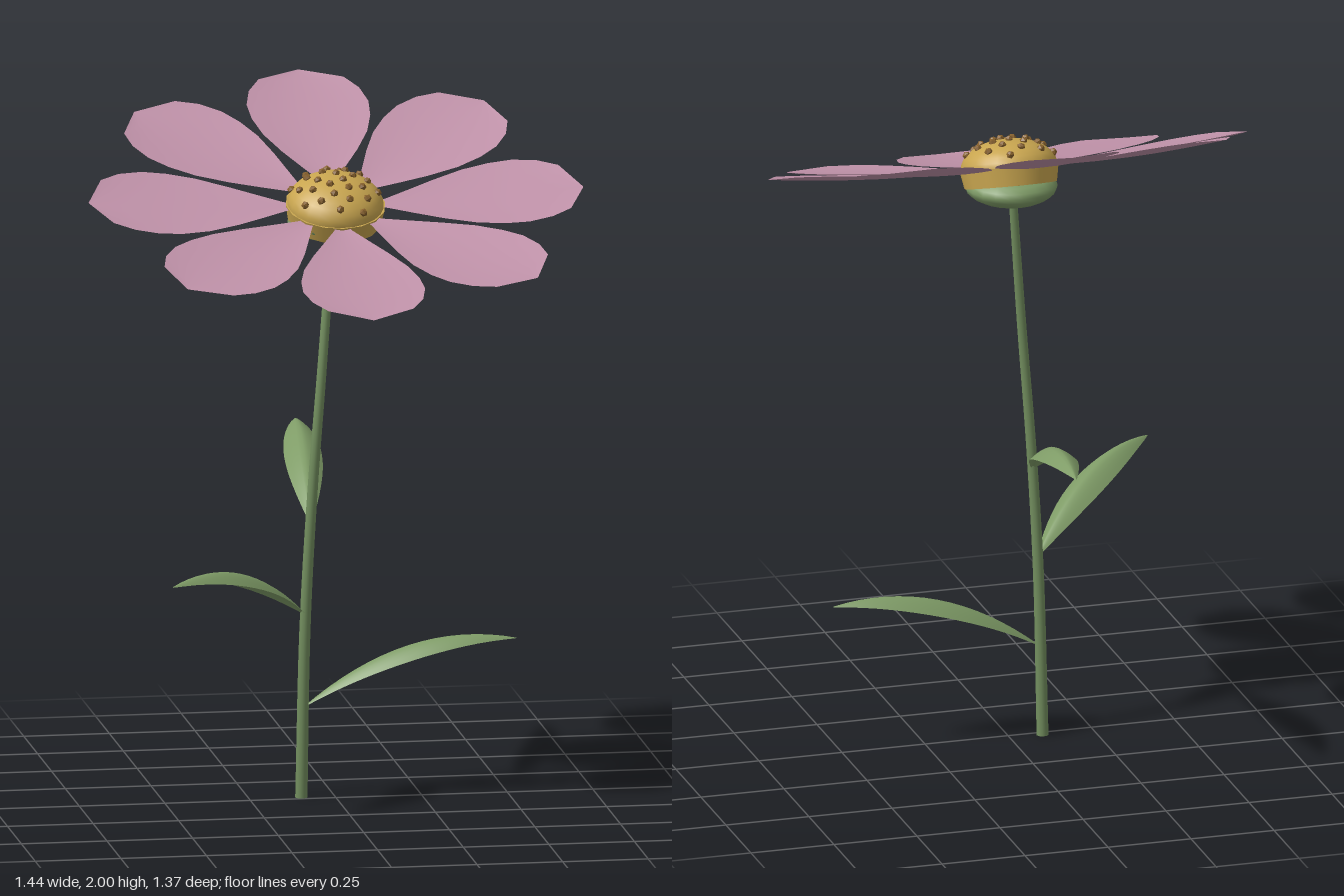
import * as THREE from 'three';

const mat = (name, color, side = THREE.FrontSide) => {
  const m = new THREE.MeshStandardMaterial({ color, side });
  m.name = name;
  return m;
};

// Smooth grid surface from fn(u, v) -> [x, y, z], u along and v across
function surface(nu, nv, fn) {
  const pos = [], index = [];
  for (let i = 0; i <= nu; i++)
    for (let j = 0; j <= nv; j++) pos.push(...fn(i / nu, j / nv));
  for (let i = 0; i < nu; i++)
    for (let j = 0; j < nv; j++) {
      const a = i * (nv + 1) + j, b = a + nv + 1;
      index.push(a, a + 1, b, b, a + 1, b + 1);
    }
  const g = new THREE.BufferGeometry();
  g.setAttribute('position', new THREE.Float32BufferAttribute(pos, 3));
  g.setIndex(index);
  g.computeVertexNormals();
  return g;
}

export function createModel() {
  const model = new THREE.Group();
  model.name = 'flower';
  const pink = mat('petalPink', 0xc092a9, THREE.DoubleSide);
  const gold = mat('centreGold', 0xc8a54f);
  const brown = mat('floretBrown', 0x86602c);
  const green = mat('stemGreen', 0x738f5f);
  const leafGreen = mat('leafGreen', 0x7f9c67, THREE.DoubleSide);

  const add = (parent, name, geometry, material) => {
    const m = new THREE.Mesh(geometry, material);
    m.name = name;
    parent.add(m);
    return m;
  };

  // Stem: curved tube, tapering upwards
  const curve = new THREE.CatmullRomCurve3([
    [-0.098, 0, -0.02], [-0.09, 0.5, -0.004], [-0.07, 0.9, 0.006],
    [-0.043, 1.25, 0.006], [-0.008, 1.67, -0.018],
  ].map(p => new THREE.Vector3(...p)));
  const SEG = 24, SIDES = 10;
  const tube = new THREE.TubeGeometry(curve, SEG, 0.018, SIDES);
  const tp = tube.attributes.position, v = new THREE.Vector3();
  for (let i = 0; i < tp.count; i++) {
    const t = Math.floor(i / (SIDES + 1)) / SEG;
    const c = curve.getPointAt(t);
    v.fromBufferAttribute(tp, i).sub(c).multiplyScalar(1 - 0.3 * t).add(c);
    tp.setXYZ(i, v.x, Math.max(0, v.y), v.z);
  }
  add(model, 'stem', tube, green);
  const foot = add(model, 'stemFoot', new THREE.CircleGeometry(0.018, SIDES), green);
  foot.rotation.x = Math.PI / 2;
  foot.position.set(-0.098, 0.001, -0.02);

  // Leaves: arched blades with drooping edges, spiralling up the stem
  const spine = new THREE.QuadraticBezierCurve(
    new THREE.Vector2(0, 0), new THREE.Vector2(0.3, 0.25), new THREE.Vector2(0.62, 0.182));
  const leafGeo = surface(16, 8, (u, w) => {
    const p = spine.getPoint(u), s = w * 2 - 1;
    const half = 0.002 + 0.053 * Math.pow(Math.max(0, Math.sin(Math.PI * u)), 0.9);
    return [p.x, p.y - 0.65 * half * Math.pow(Math.abs(s), 1.5), half * s];
  });
  [[-0.092, 0.27, -0.008], [-0.087, 0.541, -0.003], [-0.074, 0.811, 0.003]].forEach((p, i) => {
    const leaf = add(model, 'leaf' + (i + 1), leafGeo, leafGreen);
    leaf.position.set(...p);
    leaf.rotation.y = -THREE.MathUtils.degToRad(137.5 * i);
  });

  // Flower head, tilted forward
  const head = new THREE.Group();
  head.name = 'flowerHead';
  head.position.set(0, 1.775, 0);
  head.rotation.x = 0.322;
  model.add(head);

  // Petals: shallow cups rising outwards, stations of [radius, half width]
  const stations = [
    [0.1, 0.008], [0.15, 0.027], [0.22, 0.066], [0.3, 0.11], [0.39, 0.152],
    [0.47, 0.173], [0.54, 0.178], [0.61, 0.161], [0.668, 0.124], [0.722, 0.002],
  ];
  const last = stations.length - 1;
  const petalGeo = surface(last, 8, (u, w) => {
    const [r, half] = stations[Math.round(u * last)], s = w * 2 - 1;
    const sag = 0.011 * Math.sin(Math.PI * (r - 0.1) / 0.622);
    return [r, (r - 0.722) * 0.057 - sag + 0.075 * half * s * s, half * s];
  });
  for (let i = 0; i < 8; i++)
    add(head, 'petal' + (i + 1), petalGeo, pink).rotation.y = i * Math.PI / 4;

  // Domed centre standing on a thick disc
  const dome = add(head, 'centreDome', new THREE.SphereGeometry(1, 24, 16), gold);
  dome.scale.set(0.14, 0.082, 0.14);
  dome.position.y = -0.031;
  const disc = add(head, 'centreDisc', new THREE.CylinderGeometry(0.145, 0.135, 0.055, 16), gold);
  disc.position.y = -0.057;

  // Level green cup under the head
  const cup = add(model, 'calyx', new THREE.SphereGeometry(1, 20, 12), leafGreen);
  cup.scale.set(0.135, 0.055, 0.135);
  cup.position.set(-0.003, 1.693, -0.02);

  // Florets in a golden spiral over the dome
  const floretGeo = new THREE.IcosahedronGeometry(0.0125, 0);
  const COUNT = 26;
  for (let i = 0; i < COUNT; i++) {
    const r = 0.94 * Math.sqrt((i + 0.5) / COUNT), a = i * 2.39996;
    const f = add(head, 'floret' + (i + 1), floretGeo, brown);
    f.position.set(0.14 * r * Math.cos(a), -0.031 + 0.083 * Math.sqrt(1 - r * r), 0.14 * r * Math.sin(a));
    f.rotation.y = a;
  }
  return model;
}
